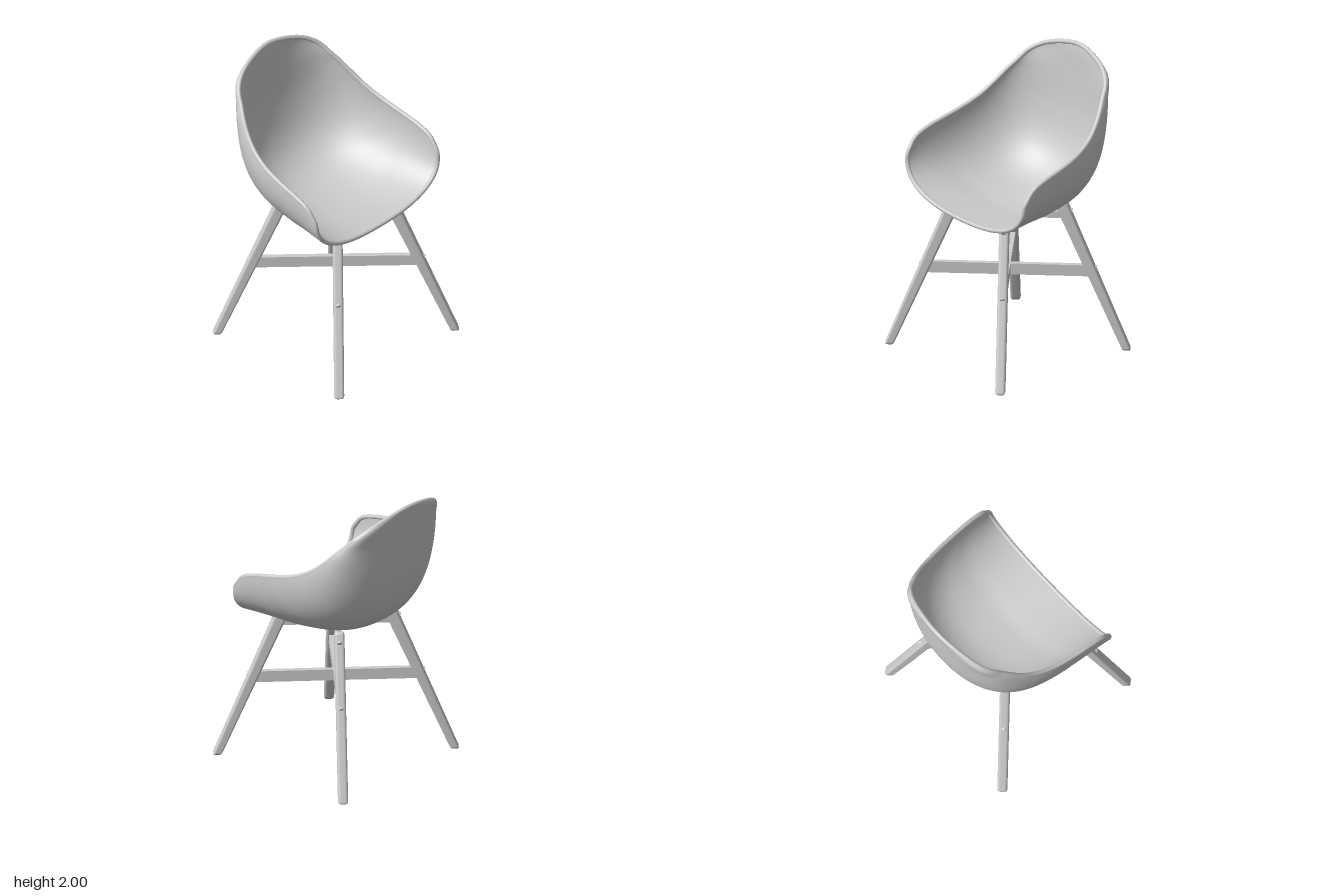
import * as THREE from 'three';
import { mergeVertices } from 'three/addons/utils/BufferGeometryUtils.js';
import { RoundedBoxGeometry } from 'three/addons/geometries/RoundedBoxGeometry.js';

const CENTRE_Z = 0.028; // axis of the leg frame

// Paired control points from the front lip to the top of the back
const spine = [
  [0, 1.015, 0.415], [0, 1.005, 0.2], [0, 1.0, 0], [0, 1.04, -0.25], [0, 1.135, -0.41],
  [0, 1.28, -0.505], [0, 1.5, -0.56], [0, 1.75, -0.58], [0, 1.9, -0.587], [0, 1.985, -0.597], [0, 2.07, -0.607],
];
const rim = [
  [0.582, 1.3, 0.392], [0.587, 1.39, 0.325], [0.585, 1.437, 0.21], [0.577, 1.468, 0.08], [0.56, 1.51, -0.07],
  [0.532, 1.57, -0.2], [0.498, 1.65, -0.3], [0.443, 1.757, -0.4], [0.325, 1.9, -0.53], [0, 1.985, -0.597], [-0.325, 1.9, -0.53],
];
const curve = (pts) => new THREE.CatmullRomCurve3(pts.map((p) => new THREE.Vector3(...p)), false, 'catmullrom', 0.5);

// Bowl surface: U-shaped sections swept along the spine, each reaching the rim
function bowlGeometry(rows, cols) {
  const spineCurve = curve(spine), rimCurve = curve(rim);
  const pos = [], idx = [];
  for (let j = 0; j <= rows; j++) {
    const t = (j / rows) * 0.998;
    const s = spineCurve.getPoint(t * 0.9), r = rimCurve.getPoint(t * 0.9);
    const e = 2 / THREE.MathUtils.lerp(2.4, 1.85, t);
    const bend = THREE.MathUtils.lerp(2, 1, Math.min(t * 4, 1)); // keeps the front lip upright
    for (let i = 0; i <= cols; i++) {
      const a = (i / cols - 0.5) * Math.PI;
      const w = Math.sign(a) * Math.abs(Math.sin(a)) ** e;
      const d = 1 - Math.max(Math.cos(a), 0) ** e;
      pos.push(r.x * w, s.y + (r.y - s.y) * d, s.z + (r.z - s.z) * d ** bend);
      if (i < cols && j < rows) {
        const p = j * (cols + 1) + i, q = p + cols + 1;
        idx.push(p, p + 1, q, p + 1, q + 1, q);
      }
    }
  }
  const g = new THREE.BufferGeometry();
  g.setAttribute('position', new THREE.Float32BufferAttribute(pos, 3));
  g.setIndex(idx);
  g.computeVertexNormals();
  return g;
}

// Same surface pushed outwards and turned inside out
function offsetGeometry(inner, depth) {
  const g = inner.clone(), p = g.attributes.position, n = inner.attributes.normal;
  for (let i = 0; i < p.count; i++) {
    p.setXYZ(i, p.getX(i) - n.getX(i) * depth, p.getY(i) - n.getY(i) * depth, p.getZ(i) - n.getZ(i) * depth);
  }
  g.setIndex([...inner.index.array].reverse());
  g.computeVertexNormals();
  return g;
}

// Round bead following the open edge of the bowl
function rimGeometry(bowl, rows, cols) {
  const at = (j, i) => new THREE.Vector3().fromBufferAttribute(bowl.attributes.position, j * (cols + 1) + i);
  const pts = [];
  for (let i = 4; i <= cols - 4; i += 4) pts.push(at(0, i));
  for (let j = 0; j < rows - 2; j += 4) pts.push(at(j, cols));
  pts.push(new THREE.Vector3(0, 1.985, -0.597));
  for (let j = rows - 4; j >= 0; j -= 4) pts.push(at(j, 0));
  const path = new THREE.CatmullRomCurve3(pts, true);
  path.arcLengthDivisions = 800;
  return new THREE.TubeGeometry(path, 220, 0.015, 12, true);
}

const legRadius = (y) => 0.783 - 0.428 * (y / 1.03); // distance of leg axis from the frame axis

// Tapered, leaning leg with its radial direction along +z
function legGeometry(height) {
  const g = new RoundedBoxGeometry(0.066, height, 0.092, 4, 0.02);
  g.deleteAttribute('normal');
  g.deleteAttribute('uv');
  const p = g.attributes.position;
  for (let i = 0; i < p.count; i++) {
    const t = p.getY(i) / height + 0.5;
    const d = p.getZ(i) * THREE.MathUtils.lerp(0.64, 1, t);
    const y = t * height + 0.3 * d * t;
    p.setXYZ(i, p.getX(i), y, legRadius(y) + d);
  }
  const merged = mergeVertices(g, 1e-5);
  merged.computeVertexNormals();
  return merged;
}

export function createModel() {
  const model = new THREE.Group();
  model.name = 'bucketChair';
  const grey = new THREE.MeshStandardMaterial({ color: 0xcccccc });
  grey.name = 'plain grey';
  const add = (parent, name, geometry) => {
    const mesh = new THREE.Mesh(geometry, grey);
    mesh.name = name;
    parent.add(mesh);
    return mesh;
  };

  // Seat shell
  const rows = 80, cols = 64;
  const shell = new THREE.Group();
  shell.name = 'seatShell';
  model.add(shell);
  const inner = bowlGeometry(rows, cols);
  add(shell, 'shellInside', inner);
  add(shell, 'shellOutside', offsetGeometry(inner, 0.014));
  add(shell, 'shellRim', rimGeometry(inner, rows, cols));

  // Leg frame
  const frame = new THREE.Group();
  frame.name = 'legFrame';
  frame.position.z = CENTRE_Z;
  model.add(frame);
  for (let k = 0; k < 4; k++) {
    const front = k === 0 || k === 3;
    const corner = new THREE.Group();
    corner.name = front ? 'frontLegAssembly' : 'backLegAssembly';
    corner.rotation.y = Math.PI / 4 + (k * Math.PI) / 2;
    frame.add(corner);
    add(corner, front ? 'frontLeg' : 'backLeg', legGeometry(front ? 1.015 : 1.045));
    // Bolt heads on the outer face
    for (const [y, half] of [[0.585, 0.033], [0.99, 0.041]]) {
      const bolt = add(corner, 'bolt', new THREE.CylinderGeometry(0.015, 0.015, 0.02, 16));
      bolt.rotation.x = Math.PI / 2 + 0.39;
      bolt.position.set(0, y, legRadius(y) + half);
    }
  }

  // Crossed braces between opposite legs
  for (const [name, y, height] of [['lowerBrace', 0.563, 0.078], ['upperBrace', 0.96, 0.046]]) {
    for (const side of [1, -1]) {
      const brace = add(frame, name, new THREE.BoxGeometry(0.034, height, 2 * legRadius(y)));
      brace.position.y = y;
      brace.rotation.y = (side * Math.PI) / 4;
    }
  }
  return model;
}
